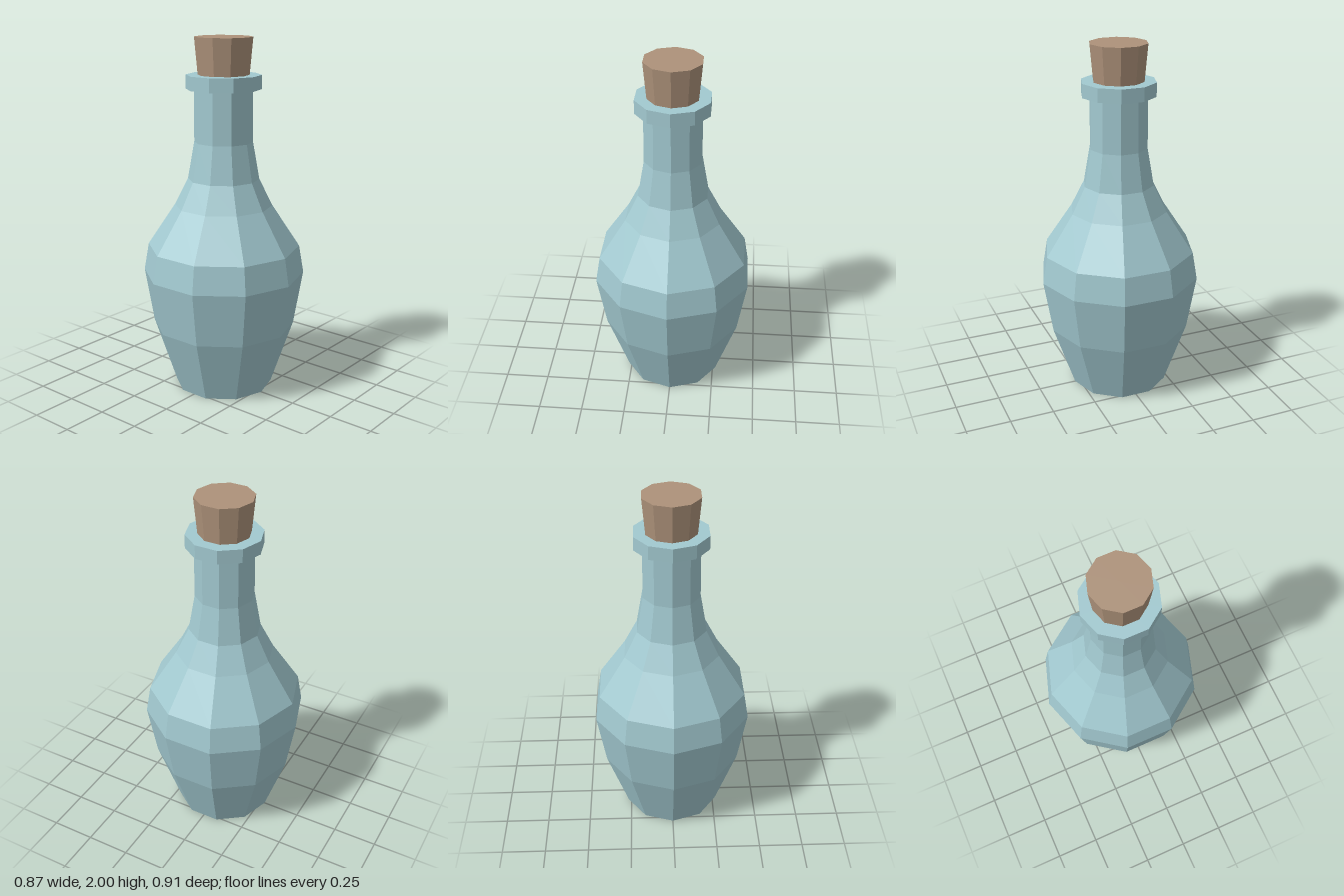
import * as THREE from 'three';

const SIDES = 10;

// Faceted solid of revolution from [radius, y] pairs, listed bottom to top
function turned(name, color, profile) {
  const points = profile.map(([r, y]) => new THREE.Vector2(r, y));
  const material = new THREE.MeshStandardMaterial({ color, flatShading: true });
  const mesh = new THREE.Mesh(new THREE.LatheGeometry(points, SIDES), material);
  mesh.name = name;
  return mesh;
}

export function createModel() {
  const glass = 0xa2c9d0;
  const cork = 0xad927a;
  const bottle = new THREE.Group();
  bottle.name = 'corkedBottle';

  // Closed base, swelling belly, sloping shoulder and slim neck
  bottle.add(turned('bottleBody', glass, [
    [0, 0], [0.28, 0], [0.405, 0.37], [0.457, 0.68], [0.43, 0.835],
    [0.275, 1.07], [0.2, 1.22], [0.163, 1.43], [0.161, 1.73],
  ]));

  // Collar around the mouth
  bottle.add(turned('bottleLip', glass, [
    [0, 1.72], [0.208, 1.72], [0.208, 1.797], [0, 1.797],
  ]));

  // Stopper, widening towards the top
  bottle.add(turned('cork', cork, [
    [0, 1.78], [0.14, 1.78], [0.16, 2], [0, 2],
  ]));

  return bottle;
}
